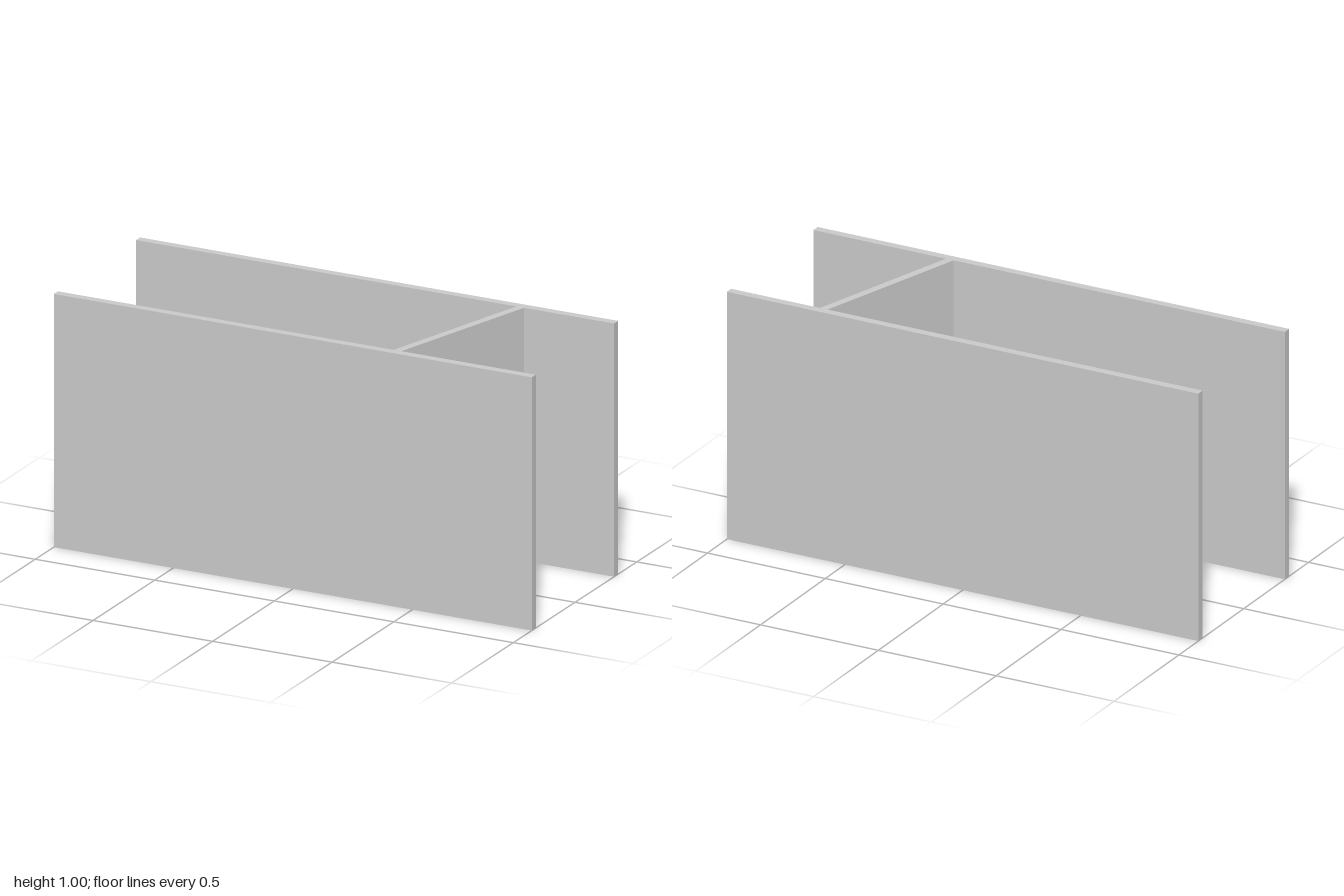
import * as THREE from 'three';

const HEIGHT = 1, LENGTH = 2, DEPTH = 0.7, THICK = 0.033;

export function createModel() {
  const group = new THREE.Group();
  const material = new THREE.MeshStandardMaterial({ color: 0xcccccc, flatShading: true });
  const inner = DEPTH / 2 - THICK;

  const add = (name, geometry) => {
    const mesh = new THREE.Mesh(geometry, material);
    mesh.name = name;
    group.add(mesh);
    return mesh;
  };

  // Two long parallel walls
  for (const [name, side] of [['frontWall', 1], ['backWall', -1]]) {
    add(name, new THREE.BoxGeometry(LENGTH, HEIGHT, THICK))
      .position.set(0, HEIGHT / 2, side * (DEPTH - THICK) / 2);
  }

  // Slanted cross wall: a parallelogram plan (x, z) raised to full height
  const plan = new THREE.Shape([
    new THREE.Vector2(0.405, inner),
    new THREE.Vector2(0.437, inner),
    new THREE.Vector2(0.623, -inner),
    new THREE.Vector2(0.591, -inner),
  ]);
  const cross = new THREE.ExtrudeGeometry(plan, { depth: HEIGHT, bevelEnabled: false });
  cross.rotateX(Math.PI / 2).translate(0, HEIGHT, 0);
  add('crossWall', cross);

  return group;
}
